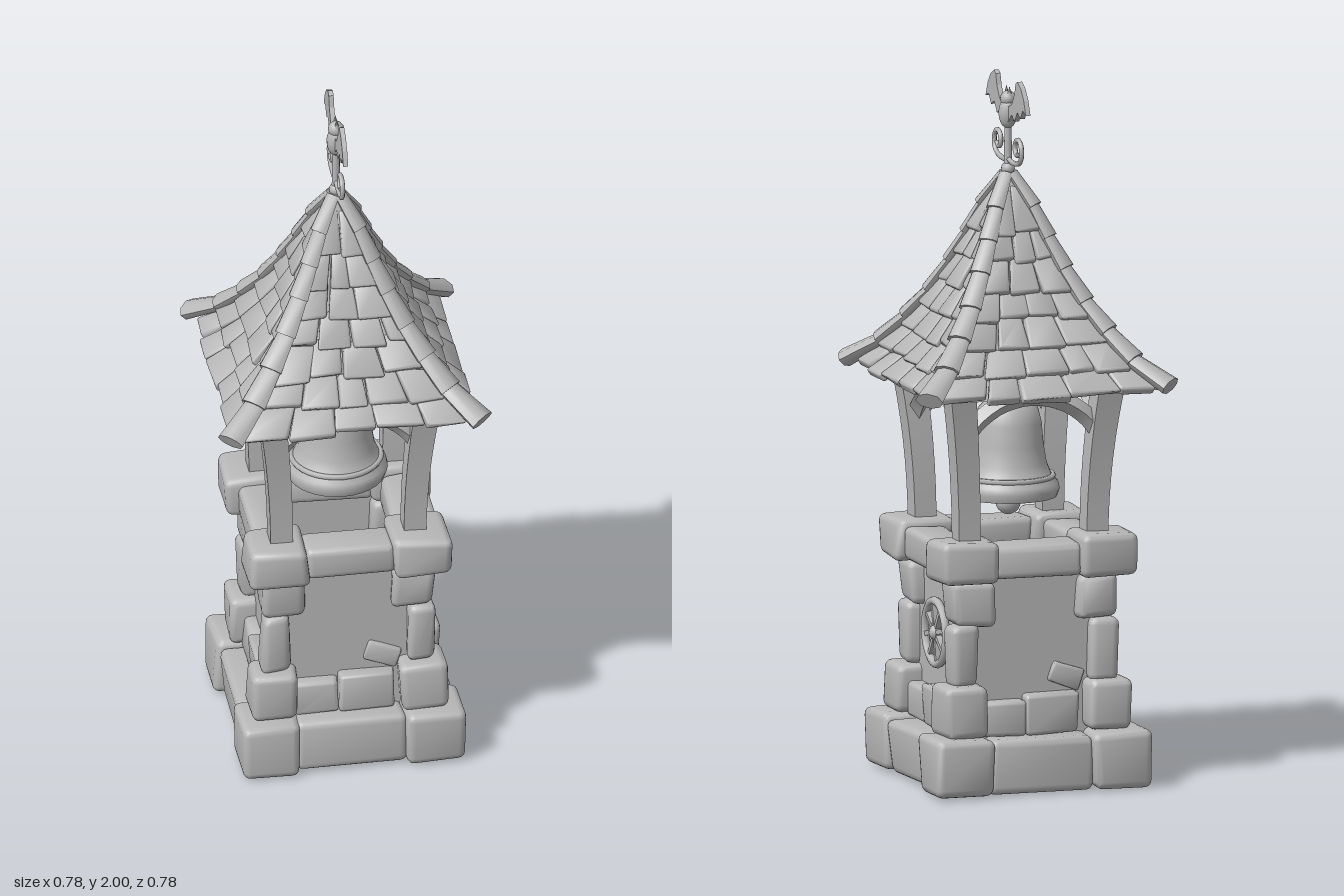
import * as THREE from 'three';
import { mergeVertices, toCreasedNormals } from 'three/addons/utils/BufferGeometryUtils.js';
import { RoundedBoxGeometry } from 'three/addons/geometries/RoundedBoxGeometry.js';

const grey = new THREE.MeshStandardMaterial({ color: 0xb8b8b8 });
grey.name = 'plain grey';

let seed = 7;
function rnd() { // -1..1, repeatable
  seed = (seed * 16807) % 2147483647;
  return (seed / 2147483647) * 2 - 1;
}

function part(name, geometry, parent, x = 0, y = 0, z = 0) {
  const mesh = new THREE.Mesh(geometry, grey);
  mesh.name = name;
  mesh.position.set(x, y, z);
  parent.add(mesh);
  return mesh;
}

// Apply a rule to every vertex, then rebuild normals with creases
function reshape(geometry, rule, crease = 0.7) {
  geometry.deleteAttribute('normal');
  geometry.deleteAttribute('uv');
  const g = mergeVertices(geometry, 1e-5);
  const p = g.attributes.position, v = new THREE.Vector3();
  for (let i = 0; i < p.count; i++) {
    rule(v.fromBufferAttribute(p, i));
    p.setXYZ(i, v.x, v.y, v.z);
  }
  return toCreasedNormals(g, crease);
}

// Rounded block whose eight corners are pushed about
function block(w, h, d, round, wobble, extra = () => {}) {
  const corners = [...Array(8)].map(() => new THREE.Vector3(rnd() * wobble, rnd() * wobble * 0.6, rnd() * wobble));
  const move = new THREE.Vector3();
  return reshape(new RoundedBoxGeometry(w, h, d, 2, round), v => {
    const a = v.x / w + 0.5, b = v.y / h + 0.5, c = v.z / d + 0.5;
    move.set(0, 0, 0);
    corners.forEach((k, i) => move.addScaledVector(k,
      (i & 1 ? a : 1 - a) * (i & 2 ? b : 1 - b) * (i & 4 ? c : 1 - c)));
    v.add(move);
    extra(v);
  });
}

// One of four identical sides, facing +z before rotation
function side(parent, name, k) {
  const g = new THREE.Group();
  g.name = name;
  g.rotation.y = k * Math.PI / 2;
  parent.add(g);
  return g;
}

function buildTower(parent) {
  // corner stones: [bottom, top, inner edge, outer edge]
  const courses = [[0, 0.165, 0.15, 0.318], [0.16, 0.305, 0.145, 0.278], [0.3, 0.48, 0.165, 0.248],
    [0.475, 0.605, 0.125, 0.245], [0.6, 0.722, 0.12, 0.29]];
  for (let k = 0; k < 4; k++) {
    const g = side(parent, 'towerSide', k);
    for (const [y0, y1, a, b] of courses) {
      const s = b - a;
      part('cornerStone', block(s, y1 - y0, s, 0.022, 0.01), g, (a + b) / 2, (y0 + y1) / 2, (a + b) / 2);
    }
    part('baseStone', block(0.31, 0.15, 0.15, 0.022, 0.01), g, 0, 0.077, 0.228);
    part('rimStone', block(0.26, 0.095, 0.12, 0.02, 0.008), g, 0, 0.655, 0.205);
    part('wallPanel', new THREE.BoxGeometry(0.4, 0.5, 0.03), g, 0, 0.39, 0.19);
    part('wallStone', block(0.16, 0.115, 0.07, 0.012, 0.006), g, 0.05, 0.212, 0.21);
    part('wallStone', block(0.13, 0.1, 0.07, 0.012, 0.006), g, -0.095, 0.205, 0.207);
    if (k !== 1) {
      const brick = part('looseBrick', block(0.1, 0.06, 0.04, 0.008, 0.005), g, 0.1, 0.315, 0.2);
      brick.rotation.z = -0.35;
    }
  }
}

function buildWheel(parent) {
  const g = new THREE.Group();
  g.name = 'wheelEmblem';
  g.position.set(0.208, 0.42, 0);
  g.rotation.y = Math.PI / 2;
  parent.add(g);
  part('wheelRim', new THREE.TorusGeometry(0.09, 0.012, 8, 32), g, 0, 0, 0.008);
  part('wheelHub', new THREE.SphereGeometry(0.022, 12, 8), g, 0, 0, 0.006);
  for (let i = 0; i < 8; i++) {
    const spoke = part('wheelSpoke', new THREE.BoxGeometry(0.013, 0.085, 0.016), g);
    const a = i * Math.PI / 4 + 0.2;
    spoke.position.set(-Math.sin(a) * 0.045, Math.cos(a) * 0.045, 0.006);
    spoke.rotation.z = a;
  }
}

function buildFrame(parent) {
  for (let k = 0; k < 4; k++) {
    const g = side(parent, 'frameSide', k);
    // post bending outward towards the top
    const post = reshape(new THREE.BoxGeometry(0.064, 0.47, 0.064, 1, 8, 1), v => {
      const t = v.y / 0.47 + 0.5, w = 1 + 0.2 * t * t;
      v.x = v.x * w + 0.035 * t * t;
      v.z = v.z * w + 0.035 * t * t;
    });
    part('post', post, g, 0.19, 0.93, 0.19);
    part('eaveBeam', new THREE.BoxGeometry(0.46, 0.05, 0.05), g, 0, 1.15, 0.215);
    // arched brace between two posts
    const arch = new THREE.CatmullRomCurve3([[-0.205, 1.0], [-0.16, 1.055], [-0.09, 1.1], [0, 1.118],
      [0.09, 1.1], [0.16, 1.055], [0.205, 1.0]].map(([x, y]) => new THREE.Vector3(x, y, 0.205)));
    part('archBrace', toCreasedNormals(new THREE.TubeGeometry(arch, 18, 0.027, 4), 0.7), g);
    // rafter under the hip
    const rafter = part('rafter', new THREE.BoxGeometry(0.035, 0.035, 0.36), g, 0.15, 1.27, 0.15);
    rafter.lookAt(0.05, 1.49, 0.05);
  }
  part('bellBeam', new THREE.BoxGeometry(0.44, 0.045, 0.05), parent, 0, 1.15, 0);
}

function buildBell(parent) {
  const g = new THREE.Group();
  g.name = 'bell';
  parent.add(g);
  const profile = [[0.001, 1.05], [0.06, 1.04], [0.078, 0.98], [0.092, 0.89], [0.125, 0.8], [0.138, 0.8],
    [0.146, 0.822], [0.142, 0.84], [0.122, 0.862], [0.109, 0.895], [0.1, 0.95], [0.095, 1.01],
    [0.085, 1.05], [0.062, 1.074], [0.03, 1.083], [0.001, 1.085]].map(p => new THREE.Vector2(...p));
  part('bellBody', toCreasedNormals(new THREE.LatheGeometry(profile, 32), 0.9), g);
  part('bellBand', new THREE.TorusGeometry(0.127, 0.008, 6, 32).rotateX(Math.PI / 2), g, 0, 0.858, 0);
  part('clapperRod', new THREE.CylinderGeometry(0.01, 0.01, 0.27, 8), g, 0, 0.91, 0);
  part('clapper', new THREE.SphereGeometry(0.036, 14, 10), g, 0, 0.782, 0);
  part('bellLoop', new THREE.TorusGeometry(0.024, 0.009, 8, 16), g, 0, 1.105, 0);
}

function buildRoof(parent) {
  // [distance from centre, height] down the middle of a face and along a hip
  const face = [[0.335, 1.125], [0.283, 1.185], [0.232, 1.25], [0.185, 1.325], [0.145, 1.4],
    [0.108, 1.48], [0.077, 1.56], [0.035, 1.66]];
  const hip = [[0.352, 1.15], [0.275, 1.218], [0.218, 1.295], [0.168, 1.375], [0.124, 1.465],
    [0.088, 1.55], [0.055, 1.635], [0.015, 1.715]];
  const tileCount = [5, 5, 4, 4, 3, 3, 2];

  // hollow four-sided shell beneath the tiles
  const inner = face.map(([r, y]) => [r * 0.9 - 0.012, y + 0.003]).reverse();
  const outer = face.map(([r, y]) => [r * 0.95, y + 0.008]);
  const loop = [...inner, ...outer].map(([r, y]) => new THREE.Vector2(r * Math.SQRT2, y));
  part('roofShell', toCreasedNormals(new THREE.LatheGeometry(loop, 4, Math.PI / 4), 0.5), parent);

  for (let k = 0; k < 4; k++) {
    const g = side(parent, 'roofSide', k);
    const tiles = new THREE.Group();
    tiles.name = 'tiles';
    const ridge = new THREE.Group();
    ridge.name = 'hipCaps';
    for (let i = 0; i < 7; i++) {
      const [r0, y0] = face[i], [r1, y1] = face[i + 1];
      const len = Math.hypot(r0 - r1, y1 - y0) * 1.2;
      // tiles of random width across the course, narrowing with the roof
      const widths = [...Array(tileCount[i])].map(() => 1 + rnd() * 0.3);
      const scale = 1.9 * r0 / widths.reduce((a, b) => a + b);
      let x = -0.95 * r0;
      for (const share of widths) {
        const w = share * scale, cx = x + w / 2;
        const geo = block(w - 0.003, 0.026, len, 0.008, 0.006, v => {
          const t = v.z / len + 0.5;
          v.x = (v.x + cx) * (1 + (r1 / r0 - 1) * t);
        });
        x += w;
        const slip = rnd() * 0.008;
        const tile = part('tile', geo, tiles, 0, (y0 + y1) / 2 + 0.012 + slip, (r0 + r1) / 2 - slip);
        tile.lookAt(0, y1 + 0.006 + slip, r1 - 0.004 - slip);
      }
      // hip cap, wider at its lower end
      const [h0, a0] = hip[i], [h1, a1] = hip[i + 1];
      const size = 0.043 - i * 0.0025;
      const L = Math.hypot((h0 - h1) * Math.SQRT2, a1 - a0) * 1.15;
      const cap = new THREE.CylinderGeometry(size * 0.75, size, L, 8).rotateX(Math.PI / 2).scale(1, 0.62, 1);
      const m = part('hipCap', toCreasedNormals(cap, 0.9), ridge, (h0 + h1) / 2, (a0 + a1) / 2 + 0.004, (h0 + h1) / 2);
      m.lookAt(h1, a1, h1);
    }
    g.add(tiles, ridge);
  }
  const peak = [[0.001, 1.63], [0.078, 1.632], [0.078, 1.645], [0.04, 1.695], [0.02, 1.73], [0.001, 1.735]]
    .map(p => new THREE.Vector2(...p));
  part('roofPeak', toCreasedNormals(new THREE.LatheGeometry(peak, 4, Math.PI / 4), 0.4), parent);
}

function buildFinial(parent) {
  const g = new THREE.Group();
  g.name = 'finial';
  g.rotation.y = Math.PI / 2;
  parent.add(g);
  part('rod', new THREE.CylinderGeometry(0.01, 0.013, 0.16, 10), g, 0, 1.79, 0);
  part('rodCollar', new THREE.SphereGeometry(0.02, 12, 8), g, 0, 1.735, 0);
  // half outline of the spread wings
  const half = [[0.02, 1.915], [0.05, 1.925], [0.075, 1.96], [0.085, 1.992], [0.1, 2.0], [0.13, 1.985],
    [0.155, 1.955], [0.173, 1.915], [0.147, 1.925], [0.125, 1.898], [0.1, 1.912], [0.075, 1.882],
    [0.05, 1.897], [0.02, 1.87]];
  for (const s of [-1, 1]) {
    const wing = new THREE.Shape(half.map(([x, y]) => new THREE.Vector2(s * x, y)));
    part('wing', new THREE.ExtrudeGeometry(wing, { depth: 0.014, bevelEnabled: false }), g, 0, 0, -0.007);
    // curl that rolls up into a spiral
    const pts = [[0, 1.765], [0.03, 1.758]];
    for (let i = 0; i <= 12; i++) {
      const a = -1.5 + i * 0.62, r = 0.04 - i * 0.0024;
      pts.push([0.083 + Math.cos(a) * r, 1.802 + Math.sin(a) * r]);
    }
    const curve = new THREE.CatmullRomCurve3(pts.map(([x, y]) => new THREE.Vector3(s * x, y, 0)));
    part('scroll', new THREE.TubeGeometry(curve, 48, 0.0075, 6), g);
    part('ear', new THREE.ConeGeometry(0.009, 0.03, 6), g, s * 0.013, 1.957, 0);
  }
  part('batBody', new THREE.SphereGeometry(0.027, 14, 10).scale(1, 1.7, 1), g, 0, 1.895, 0);
  part('batHead', new THREE.SphereGeometry(0.023, 12, 8), g, 0, 1.935, 0);
}

export function createModel() {
  const model = new THREE.Group();
  model.name = 'bellTower';
  const body = new THREE.Group();
  body.name = 'tower';
  body.position.set(-0.012, 0, -0.006);
  model.add(body);
  [buildTower, buildWheel, buildFrame, buildBell, buildRoof, buildFinial].forEach(build => build(body));
  return model;
}
